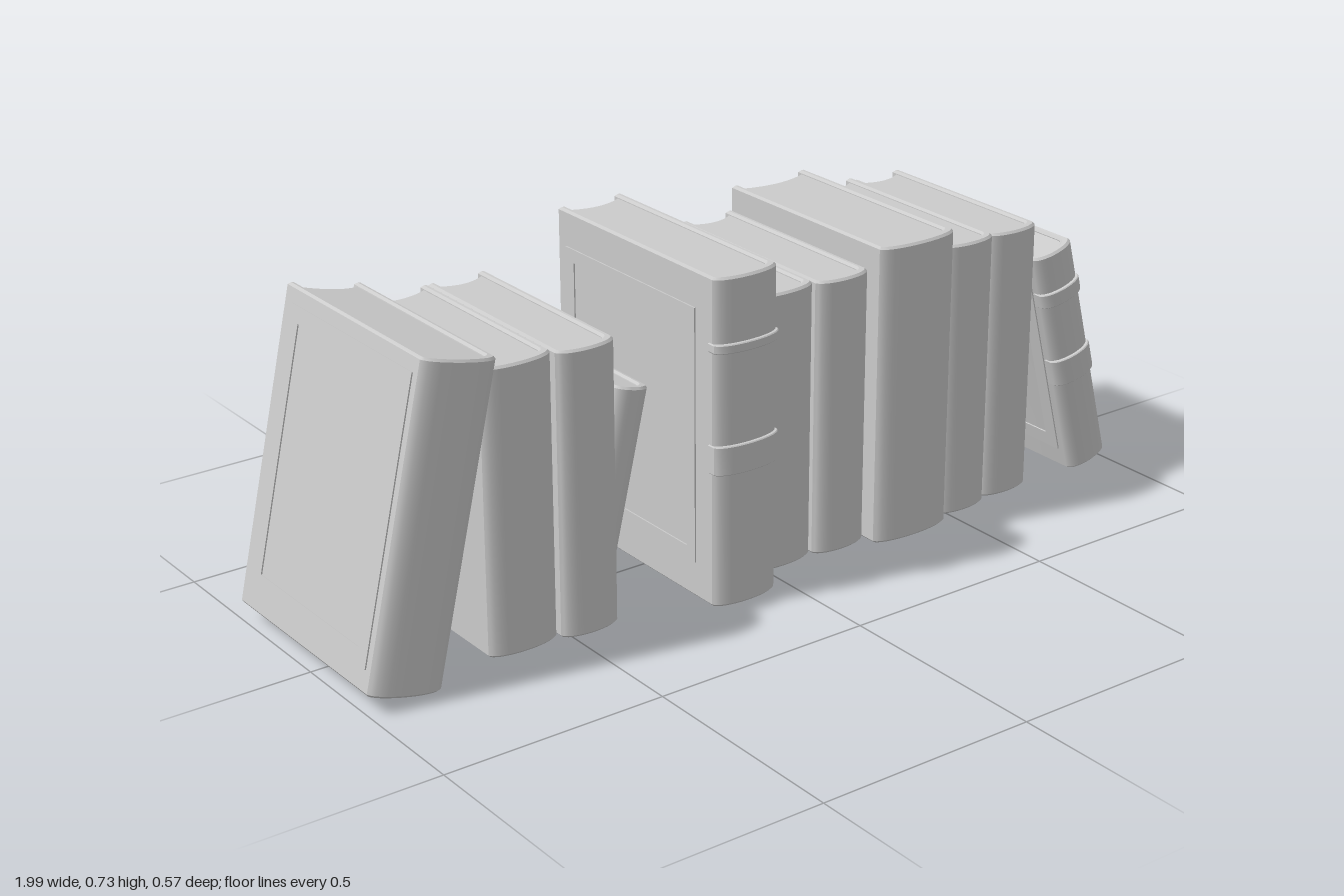
import * as THREE from 'three';
import { toCreasedNormals } from 'three/addons/utils/BufferGeometryUtils.js';

const mat = new THREE.MeshStandardMaterial({ color: 0xcccccc, side: THREE.DoubleSide });
const BOARD = 0.016; // thickness of the cover boards
const BULGE = 0.024; // how far the spine is rounded

// Rounded spine curve from x = -w to x = w; plan shapes use y = -z
function spineCurve(shape, w, front) {
  const d = front + BULGE * 4 / 3;
  shape.lineTo(-w, -front);
  shape.bezierCurveTo(-w * 0.85, -d, w * 0.85, -d, w, -front);
}

// Extrude a plan shape upwards between two heights
function upright(shape, y0, y1, bevel) {
  const geo = new THREE.ExtrudeGeometry(shape, {
    depth: y1 - y0 - 2 * bevel, curveSegments: 14, bevelEnabled: bevel > 0,
    bevelThickness: bevel, bevelSize: bevel, bevelOffset: -bevel, bevelSegments: 1,
  });
  geo.rotateX(-Math.PI / 2);
  geo.translate(0, y0 + bevel, 0);
  return toCreasedNormals(geo, 0.5);
}

function addMesh(group, geo, name) {
  const mesh = new THREE.Mesh(geo, mat);
  mesh.name = name;
  group.add(mesh);
}

function rectangle(path, x0, x1, y0, y1) {
  path.moveTo(x0, y0);
  path.lineTo(x1, y0);
  path.lineTo(x1, y1);
  path.lineTo(x0, y1);
  path.closePath();
  return path;
}

function makeBook({ w: width, h, front, back = -0.287, bands = [], frame }) {
  const book = new THREE.Group();
  const w = width / 2, inner = w - BOARD, shoulder = front - BULGE;

  // Two boards joined by the rounded spine
  const cover = new THREE.Shape();
  cover.moveTo(-w, -back);
  spineCurve(cover, w, shoulder);
  cover.lineTo(w, -back);
  cover.lineTo(inner, -back);
  cover.lineTo(inner, -shoulder + BOARD);
  cover.bezierCurveTo(inner * 0.85, -front + BOARD - 0.006, -inner * 0.85, -front + BOARD - 0.006,
    -inner, -shoulder + BOARD);
  cover.lineTo(-inner, -back);
  cover.closePath();
  addMesh(book, upright(cover, 0, h, 0.005), 'cover');

  // Page block with a hollow fore edge
  const pages = new THREE.Shape();
  const edge = -back - 0.012, p = inner + 0.002;
  pages.moveTo(-p, edge);
  spineCurve(pages, p, shoulder - 0.01);
  pages.lineTo(p, edge);
  pages.quadraticCurveTo(0, edge - 0.036, -p, edge);
  addMesh(book, upright(pages, 0.007, h - 0.007, 0), 'pages');

  // Raised bands across the spine
  for (const [y0, y1] of bands) {
    const band = new THREE.Shape();
    const bw = w + 0.002;
    band.moveTo(-bw, -shoulder + 0.012);
    spineCurve(band, bw, shoulder + 0.008);
    band.lineTo(bw, -shoulder + 0.012);
    band.closePath();
    addMesh(book, upright(band, y0, y1, 0.002), 'spineBand');
  }

  // Raised rectangular frame on both boards
  if (frame) {
    const { top, bottom, spine, fore, size } = frame;
    const x0 = -front + spine, x1 = -back - fore, y0 = bottom, y1 = h - top;
    const ring = rectangle(new THREE.Shape(), x0, x1, y0, y1);
    ring.holes.push(rectangle(new THREE.Path(), x0 + size, x1 - size, y0 + size, y1 - size));
    for (const side of [-1, 1]) {
      const geo = new THREE.ExtrudeGeometry(ring, { depth: 0.006, bevelEnabled: false });
      geo.rotateY(Math.PI / 2);
      geo.translate(side * w - 0.003, 0, 0);
      addMesh(book, geo, side > 0 ? 'leftCoverFrame' : 'rightCoverFrame');
    }
  }
  return book;
}

export function createModel() {
  const model = new THREE.Group();
  model.name = 'bookRow';
  const margin = { top: 0.035, bottom: 0.05, spine: 0.04, fore: 0.03, size: 0.034 };

  // Upright books: x from, x to, top, spine z
  const upright = [
    [-0.69, -0.525, 0.635, 0.192],
    [-0.525, -0.385, 0.635, 0.207],
    [-0.197, -0.035, 0.735, 0.28],
    [-0.035, 0.125, 0.635, 0.197],
    [0.125, 0.265, 0.635, 0.207],
    [0.265, 0.47, 0.69, 0.246],
    [0.47, 0.61, 0.642, 0.214],
    [0.61, 0.75, 0.635, 0.199],
  ];
  upright.forEach(([x0, x1, top, front], i) => {
    const tall = i === 2;
    const book = makeBook({
      w: x1 - x0 - 0.002, h: top - 0.008, front,
      bands: tall ? [[0.3, 0.364], [0.566, 0.586]] : [],
      frame: tall ? { top: 0.08, bottom: 0.08, spine: 0.08, fore: 0.027, size: 0.03 } : undefined,
    });
    book.name = tall ? 'tallBandedBook' : 'uprightBook';
    book.position.set((x0 + x1) / 2, 0.008, 0);
    model.add(book);
  });

  // Leaning books, placed by the middle of the foot
  const leaning = [
    { name: 'leaningEndBook', x: -0.915, y: 0.024, tilt: -12.8, w: 0.17, h: 0.685, front: 0.242, frame: margin },
    { name: 'leaningSmallBook', x: -0.343, y: 0.02, tilt: -13.2, w: 0.088, h: 0.437, front: 0.058, frame: margin },
    { name: 'leaningBandedBook', x: 0.942, y: 0.017, tilt: 14.5, w: 0.113, h: 0.562, front: 0.2, back: -0.242,
      bands: [[0.23, 0.295], [0.435, 0.47]], frame: margin },
  ];
  for (const spec of leaning) {
    const book = makeBook(spec);
    book.name = spec.name;
    book.position.set(spec.x, spec.y, 0);
    book.rotation.z = THREE.MathUtils.degToRad(spec.tilt);
    model.add(book);
  }
  return model;
}
